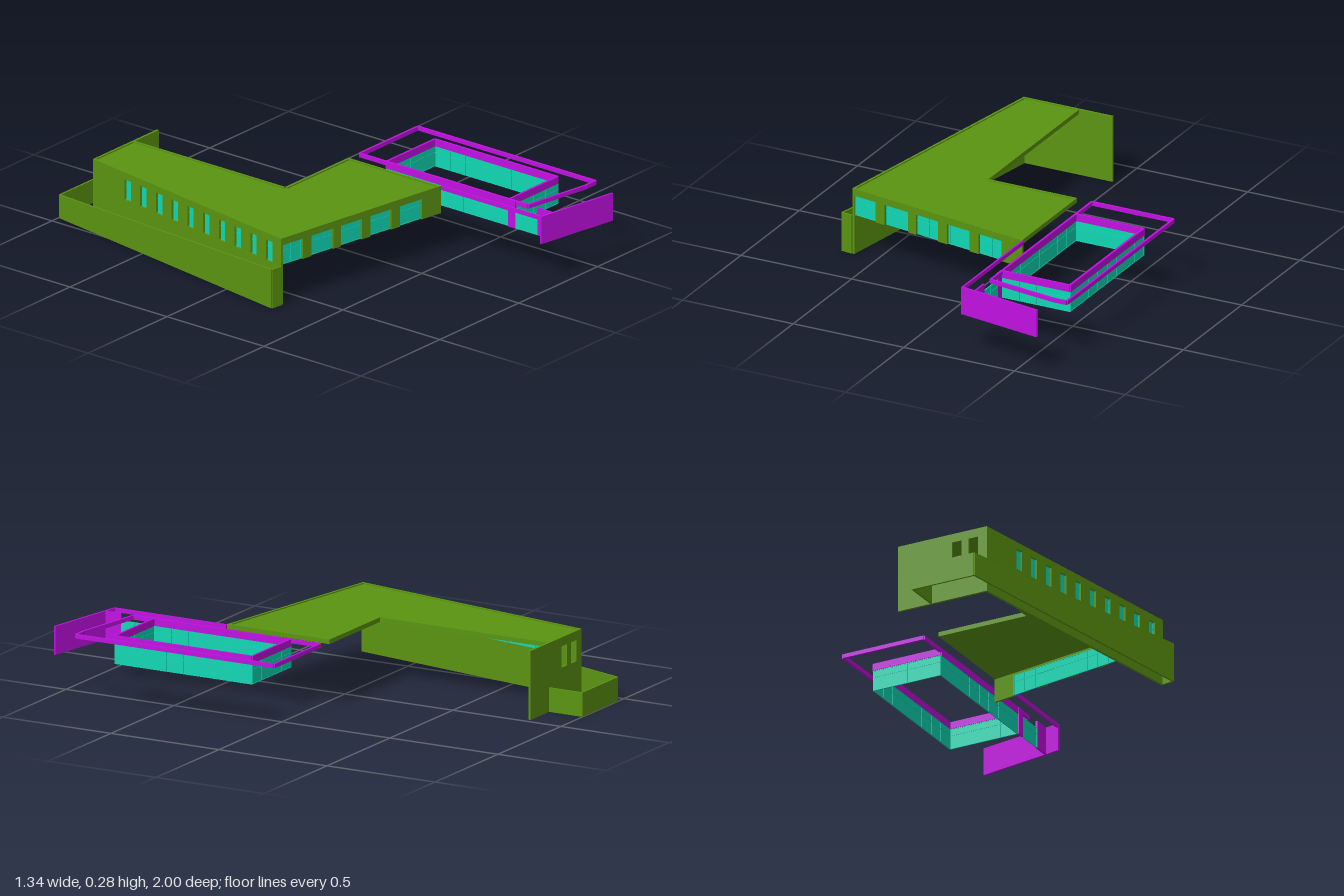
import * as THREE from 'three';

const mat = (color) => new THREE.MeshStandardMaterial({ color, flatShading: true, side: THREE.DoubleSide });
const FLOOR = 0.167, HEAD = 0.255, ROOF = 0.266, TOP = 0.285, THICK = 0.01;

export function createModel() {
  const root = new THREE.Group();
  const green = mat(0x5a9410), magenta = mat(0xc010e0), teal = mat(0x10d8b4);

  const group = (name) => {
    const g = new THREE.Group();
    g.name = name;
    root.add(g);
    return g;
  };

  // Upright slab along plan line a-b, between distances s0 and s1; shift moves it sideways
  const slab = (parent, name, m, a, b, y0, y1, { s0 = 0, s1, t = THICK, shift = 0 } = {}) => {
    const dx = b[0] - a[0], dz = b[1] - a[1], len = Math.hypot(dx, dz);
    if (s1 === undefined) s1 = len;
    const mid = (s0 + s1) / 2, ux = dx / len, uz = dz / len;
    const mesh = new THREE.Mesh(new THREE.BoxGeometry(s1 - s0, y1 - y0, t), m);
    mesh.position.set(a[0] + ux * mid - uz * shift, (y0 + y1) / 2, a[1] + uz * mid + ux * shift);
    mesh.rotation.y = -Math.atan2(dz, dx);
    mesh.name = name;
    parent.add(mesh);
    return mesh;
  };

  // Wall with a row of openings between sill and head
  const openWall = (parent, a, b, y0, openings, sill, head, shift) => {
    const len = Math.hypot(b[0] - a[0], b[1] - a[1]);
    if (sill > y0) slab(parent, 'wallBase', green, a, b, y0, sill, { shift });
    slab(parent, 'wallHead', green, a, b, head, TOP, { shift });
    let s = 0;
    for (const [o0, o1] of [...openings, [len, len]]) {
      if (o0 > s) slab(parent, 'pier', green, a, b, sill, head, { s0: s, s1: o0, shift });
      s = o1;
    }
  };

  // Thin glazing with mullions and a mid rail
  const glazing = (parent, a, b, s0, s1, count, shift = 0) => {
    slab(parent, 'glass', teal, a, b, FLOOR, HEAD, { s0, s1, t: 0.002, shift });
    for (let i = 0; i <= count; i++) {
      const s = s0 + (s1 - s0) * i / count;
      slab(parent, 'mullion', teal, a, b, FLOOR, HEAD, { s0: s - 0.0015, s1: s + 0.0015, t: 0.005, shift });
    }
    for (const y of [FLOOR, 0.225, HEAD - 0.003])
      slab(parent, 'glazingRail', teal, a, b, y, y + 0.003, { s0, s1, t: 0.005, shift });
  };

  // Roof slab with a slightly raised edge
  const NW = [-0.43, -0.845], SW = [-0.615, 0.275], SE = [0.225, 0.415];
  const plan = [NW, [-0.175, -0.845], [-0.175, -0.06], [0.225, -0.06], SE, SW];
  const roof = group('roof');
  const shape = new THREE.Shape(plan.map(([x, z]) => new THREE.Vector2(x, -z)));
  const slabGeo = new THREE.ExtrudeGeometry(shape, { depth: 0.014, bevelEnabled: false });
  slabGeo.rotateX(-Math.PI / 2).translate(0, ROOF, 0);
  const deck = new THREE.Mesh(slabGeo, green);
  deck.name = 'roofDeck';
  roof.add(deck);
  plan.forEach((p, i) => slab(roof, 'roofEdge', green, p, plan[(i + 1) % plan.length], ROOF, TOP, { shift: 0.005 }));

  // Front facade: five windows hung above an open ground level
  const front = group('frontFacade');
  const k = Math.hypot(0.84, 0.14) / 0.84;
  const frontWindows = [[-0.61, -0.5], [-0.455, -0.34], [-0.3, -0.19], [-0.145, -0.035], [0.01, 0.125]]
    .map((w) => w.map((x) => (x + 0.615) * k));
  openWall(front, SW, SE, FLOOR, frontWindows, FLOOR, HEAD, -0.005);
  glazing(front, SW, SE, 0.005, 0.75, 14, -0.011);

  // Long side wall: full height, narrow window slots
  const side = group('longSideWall');
  const slots = [];
  for (let i = 0; i < 10; i++) {
    const s = 0.19 + i * 0.095;
    slots.push([s, s + 0.038]);
  }
  openWall(side, NW, SW, 0, slots, FLOOR, HEAD, -0.005);
  glazing(side, NW, SW, 0.185, 1.13, 20, -0.011);

  // Back wall, running on past the roof, with two windows
  const back = group('backWall');
  openWall(back, NW, [-0.025, -0.845], 0, [[0.04, 0.085], [0.115, 0.16]], 0.16, 0.248, 0.005);

  // Low outer wall, rising towards the front
  const low = group('lowOuterWall');
  const lowNW = [-0.455, -0.996], lowSW = [-0.665, 0.268];
  slab(low, 'lowBackWall', green, lowNW, [-0.172, -0.996], 0, 0.1, { t: 0.008 });
  slab(low, 'lowEndWall', green, [-0.175, -1], [-0.175, -0.835], 0, 0.1, { t: 0.008 });
  slab(low, 'lowReturn', green, lowSW, SW, 0, FLOOR, { t: 0.008 });
  const ramp = slab(low, 'lowSideWall', green, lowNW, lowSW, 0, 0.1, { t: 0.008 });
  const pos = ramp.geometry.attributes.position;
  for (let i = 0; i < pos.count; i++)
    if (pos.getY(i) > 0 && pos.getX(i) > 0) pos.setY(i, pos.getY(i) + FLOOR - 0.1);

  // Glazed courtyard with a top band
  const court = group('courtyard');
  const c = [[0.293, 0.08], [0.6, 0.08], [0.6, 0.713], [0.293, 0.713]];
  c.forEach((p, i) => {
    const q = c[(i + 1) % 4], len = Math.hypot(q[0] - p[0], q[1] - p[1]);
    slab(court, 'courtBand', magenta, p, q, HEAD, TOP);
    glazing(court, p, q, 0, len, i % 2 ? 8 : 4);
  });

  // Thin canopy frame around the courtyard
  const canopy = group('canopyFrame');
  const ring = [[0.293, -0.058], [0.662, -0.058], [0.662, 0.858], [0.6, 0.858], [0.293, 0.81]];
  ring.forEach((p, i) => slab(canopy, 'canopyBeam', magenta, p, ring[(i + 1) % 5], 0.268, TOP));
  slab(canopy, 'linkBeam', magenta, [0.229, 0.415], [0.229, 0.93], 0.268, TOP, { t: 0.008 });

  // Entrance: front screen wall, piers and a glazed door between them
  const entry = group('entrance');
  slab(entry, 'screenWall', magenta, [0.225, 0.931], [0.6, 0.994], FLOOR, TOP, { t: 0.009 });
  const e0 = [0.29, 0.713], e1 = [0.29, 0.94];
  slab(entry, 'entryPier', magenta, e0, e1, FLOOR, TOP, { s0: 0, s1: 0.035, t: 0.008 });
  slab(entry, 'entryPier', magenta, e0, e1, FLOOR, TOP, { s0: 0.152, t: 0.008 });
  glazing(entry, e0, e1, 0.035, 0.152, 2);

  return root;
}
